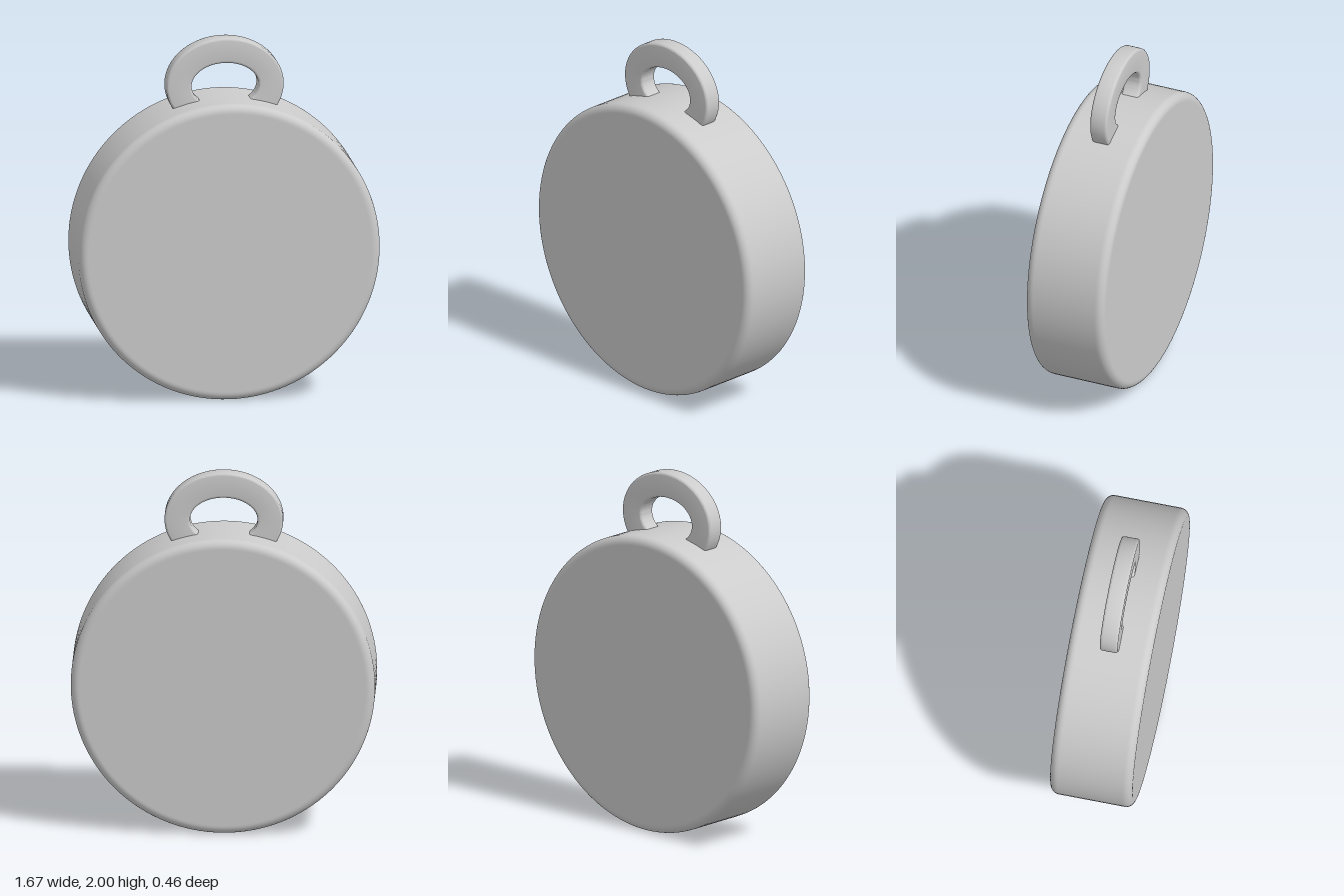
import * as THREE from 'three';
import { toCreasedNormals } from 'three/addons/utils/BufferGeometryUtils.js';

const material = new THREE.MeshStandardMaterial({ color: 0xcccccc });

// Quarter-round corner points, counter-clockwise from angle a0
function corner(cx, cy, r, a0, steps) {
  const pts = [];
  for (let i = 0; i <= steps; i++) {
    const a = a0 + (i / steps) * Math.PI / 2;
    pts.push(new THREE.Vector2(cx + r * Math.cos(a), cy + r * Math.sin(a)));
  }
  return pts;
}

// Thick round disc with rounded rims, axis along z
function makeBody() {
  const R = 0.833, half = 0.23, b = 0.045;
  const profile = [
    new THREE.Vector2(0, -half),
    new THREE.Vector2(R - b - 0.005, -half),
    ...corner(R - b, -half + b, b, -Math.PI / 2, 8),
    new THREE.Vector2(R, -half + b + 0.005),
    new THREE.Vector2(R, half - b - 0.005),
    ...corner(R - b, half - b, b, 0, 8),
    new THREE.Vector2(R - b - 0.005, half),
    new THREE.Vector2(0, half),
  ];
  const geo = new THREE.LatheGeometry(profile, 128);
  geo.rotateX(Math.PI / 2);
  const mesh = new THREE.Mesh(geo, material);
  mesh.name = 'body';
  mesh.position.y = R;
  return mesh;
}

// Oval hanging loop: a flat rounded band swept round an ellipse
function makeLoop() {
  const w = 0.07, half = 0.05, b = 0.014, rx = 0.255, ry = 0.195;
  const profile = [
    ...corner(1 + w - b, -half + b, b, -Math.PI / 2, 4),
    ...corner(1 + w - b, half - b, b, 0, 4),
    ...corner(1 - w + b, half - b, b, Math.PI / 2, 4),
    ...corner(1 - w + b, -half + b, b, Math.PI, 4),
  ];
  profile.push(profile[0].clone());
  const geo = new THREE.LatheGeometry(profile, 96);
  geo.rotateX(Math.PI / 2);
  // Turn the unit circle into an ellipse while keeping the band width
  const p = geo.attributes.position;
  for (let i = 0; i < p.count; i++) {
    const x = p.getX(i), y = p.getY(i);
    const r = Math.hypot(x, y), d = r - 1;
    p.setXY(i, (x / r) * (rx + d), (y / r) * (ry + d));
  }
  const mesh = new THREE.Mesh(toCreasedNormals(geo, 0.7), material);
  mesh.name = 'hangingLoop';
  mesh.position.y = 1.735;
  return mesh;
}

export function createModel() {
  const group = new THREE.Group();
  group.name = 'roundPendant';
  group.add(makeBody(), makeLoop());
  return group;
}
